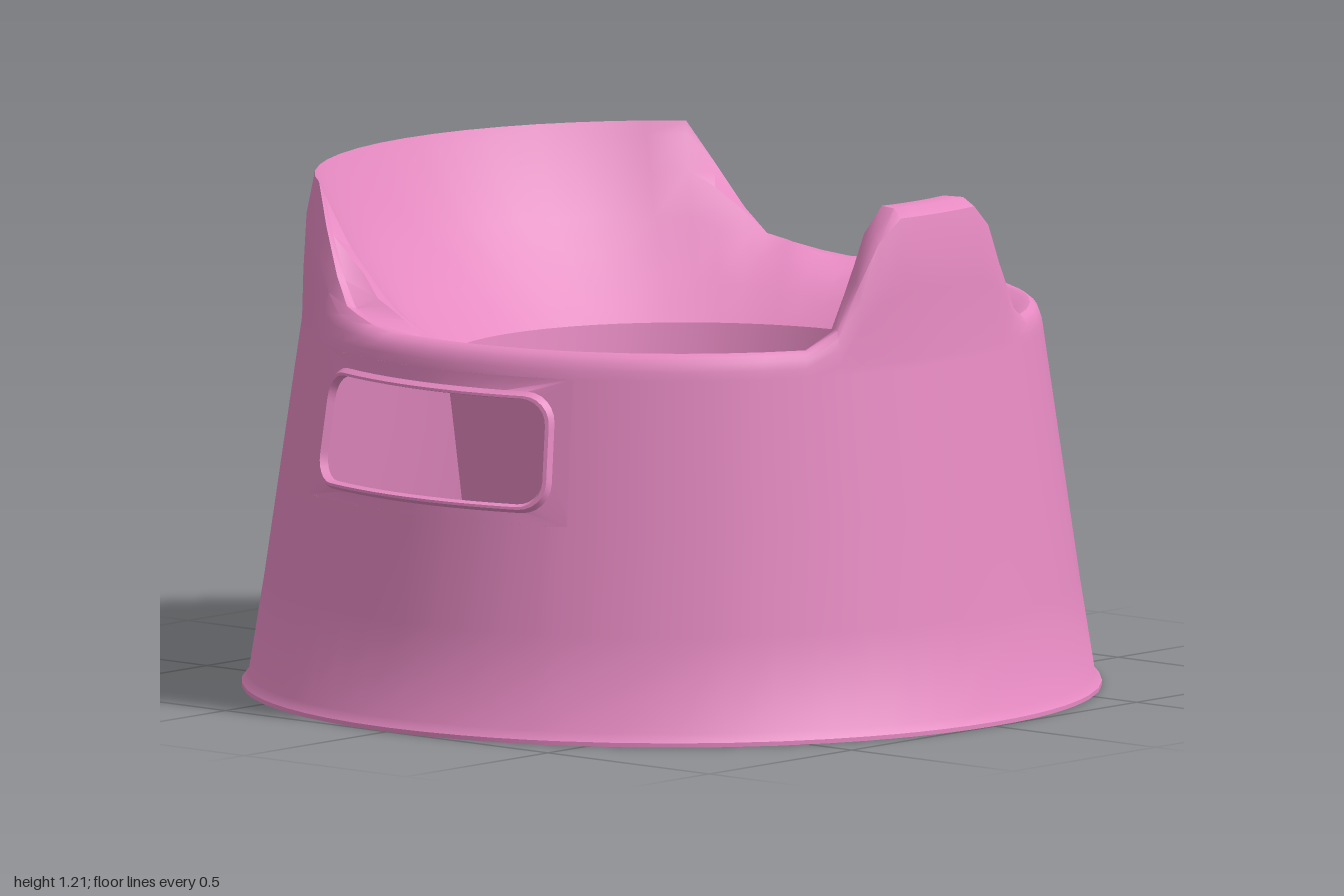
import * as THREE from 'three';
import { toCreasedNormals } from 'three/addons/utils/BufferGeometryUtils.js';

const rad = THREE.MathUtils.degToRad, lerp = THREE.MathUtils.lerp;
const material = new THREE.MeshStandardMaterial({ color: 0xe68ac2, side: THREE.DoubleSide });

// Angles run from the front (+z) towards the model's left (+x)
const polar = (deg, r, y) => [r * Math.sin(rad(deg)), y, r * Math.cos(rad(deg))];
const wallRadius = y => 0.985 - 0.145 * y;
const bowlPoint = (deg, rx, rz, y) => [rx * Math.sin(rad(deg)), y, 0.08 + rz * Math.cos(rad(deg))];

// Skin closed loops of points; skip(i, j) leaves a cell open
function skin(name, loops, skip = () => false) {
  const n = loops[0].length, index = [];
  for (let j = 0; j < loops.length - 1; j++) {
    for (let i = 0; i < n; i++) {
      if (skip(i, j)) continue;
      const k = (i + 1) % n;
      const a = j * n + i, b = j * n + k, c = b + n, d = a + n;
      index.push(a, b, c, a, c, d);
    }
  }
  const geometry = new THREE.BufferGeometry();
  geometry.setAttribute('position', new THREE.Float32BufferAttribute(loops.flat(2), 3));
  geometry.setIndex(index);
  const mesh = new THREE.Mesh(toCreasedNormals(geometry, 0.65), material);
  mesh.name = name;
  return mesh;
}

// Piecewise linear lookup in [x, value] pairs
function ramp(points, x) {
  for (let i = 1; i < points.length; i++) {
    const [x0, v0] = points[i - 1], [x1, v1] = points[i];
    if (x <= x1) return lerp(v0, v1, (x - x0) / (x1 - x0));
  }
  return points[points.length - 1][1];
}

// Column angles, closer together at the guard, handles and backrest ends
const half = [0, 4.5, 9, 13.5, 17.5, 21.5, 27, 34, 41, 48, 56, 64, 68, 73, 78, 84, 90, 96,
  102, 107, 112, 116, 120, 125, 129.5, 136, 142, 148, 154, 160, 167, 173.5, 180];
const columns = [...half, ...half.slice(1, -1).reverse().map(a => 360 - a)];

// Top profiles: [fraction of the way from wall to bowl, height]
const seat = [[0, 0.86], [0.03, 0.88], [0.07, 0.892], [0.13, 0.9], [0.2, 0.898],
  [0.4, 0.88], [0.6, 0.855], [0.8, 0.82], [1, 0.77]];
const backrest = [[0, 0.86], [0.01, 0.98], [0.03, 1.1], [0.09, 1.2], [0.13, 1.17],
  [0.25, 1.09], [0.42, 0.99], [0.7, 0.87], [1, 0.77]];
const guard = [[0, 0.86], [0.02, 1.02], [0.06, 1.12], [0.14, 1.19], [0.3, 1.21],
  [0.58, 1.21], [0.68, 1.17], [0.93, 0.92], [1, 0.77]];
const backAmount = [[0, 0], [104, 0], [116, 0.12], [120, 0.33], [129.5, 1], [180, 1]];
const guardAmount = [[0, 1], [9, 1], [13.5, 0.82], [21.5, 0.14], [27, 0], [180, 0]];

// Point k of the top profile in one column
function topPoint(deg, k) {
  const a = deg > 180 ? 360 - deg : deg;
  const front = a < 60;
  let w = ramp(front ? guardAmount : backAmount, a);
  if (!front && k > 4) w = Math.sqrt(w); // fuller cheeks at the backrest ends
  const raised = front ? guard : backrest;
  const t = lerp(seat[k][0], raised[k][0], w), y = lerp(seat[k][1], raised[k][1], w);
  const o = polar(deg, wallRadius(0.86), y), b = bowlPoint(deg, 0.57, 0.6, y);
  return [lerp(o[0], b[0], t), y, lerp(o[2], b[2], t)];
}

// Rounded rectangle on the wall: angle half width, half height, corner radii
function wallLoop(centre, y, hw, hh, ru, rv, offset) {
  const uv = [], signs = [[1, 1], [-1, 1], [-1, -1], [1, -1]], arc = 6, edge = 10;
  const corner = (c, s) => {
    const [sx, sy] = signs[c % 4], q = (c + s) * Math.PI / 2;
    return [sx * (hw - ru) + ru * Math.cos(q), sy * (hh - rv) + rv * Math.sin(q)];
  };
  for (let c = 0; c < 4; c++) {
    for (let s = 0; s <= arc; s++) uv.push(corner(c, s / arc));
    const p = corner(c, 1), q = corner(c + 1, 0);
    for (let s = 1; s < edge; s++) uv.push([lerp(p[0], q[0], s / edge), lerp(p[1], q[1], s / edge)]);
  }
  return uv.map(([u, v]) => polar(centre + u, wallRadius(y + v) + offset, y + v));
}

export function createModel() {
  const group = new THREE.Group();

  // Body: flared foot, tapered wall, seat, backrest and splash guard
  const wall = [[1, 0], [1, 0.01], [0.984, 0.03], ...[0.25, 0.5, 0.84].map(y => [wallRadius(y), y])];
  const loops = wall.map(([r, y]) => columns.map(a => polar(a, r, y)));
  for (let k = 0; k < seat.length; k++) loops.push(columns.map(a => topPoint(a, k)));
  const inPatch = a => (a >= 64 && a < 116) || (a >= 244 && a < 296);
  group.add(skin('body', loops, (i, j) => j === 4 && inPatch(columns[i])));

  // Handle openings with a small raised lip
  for (const [name, centre] of [['leftHandle', 90], ['rightHandle', 270]]) {
    group.add(skin(name, [
      wallLoop(centre, 0.67, 26, 0.17, 0, 0, 0),
      wallLoop(centre, 0.667, 23.4, 0.14, 4.6, 0.07, 0),
      wallLoop(centre, 0.667, 22.8, 0.131, 4.3, 0.065, 0.014),
      wallLoop(centre, 0.667, 22.2, 0.125, 4, 0.06, 0.014),
      wallLoop(centre, 0.667, 21.8, 0.121, 3.8, 0.058, -0.004),
    ]));
  }

  // Bowl hanging inside the body
  const bowl = [[0.57, 0.6, 0.77], [0.555, 0.585, 0.65], [0.5, 0.525, 0.13], [0.492, 0.517, 0.09],
    [0.475, 0.5, 0.06], [0.455, 0.485, 0.05], [0, 0, 0.05]];
  group.add(skin('bowl', bowl.map(([rx, rz, y]) => columns.map(a => bowlPoint(a, rx, rz, y)))));

  return group;
}
